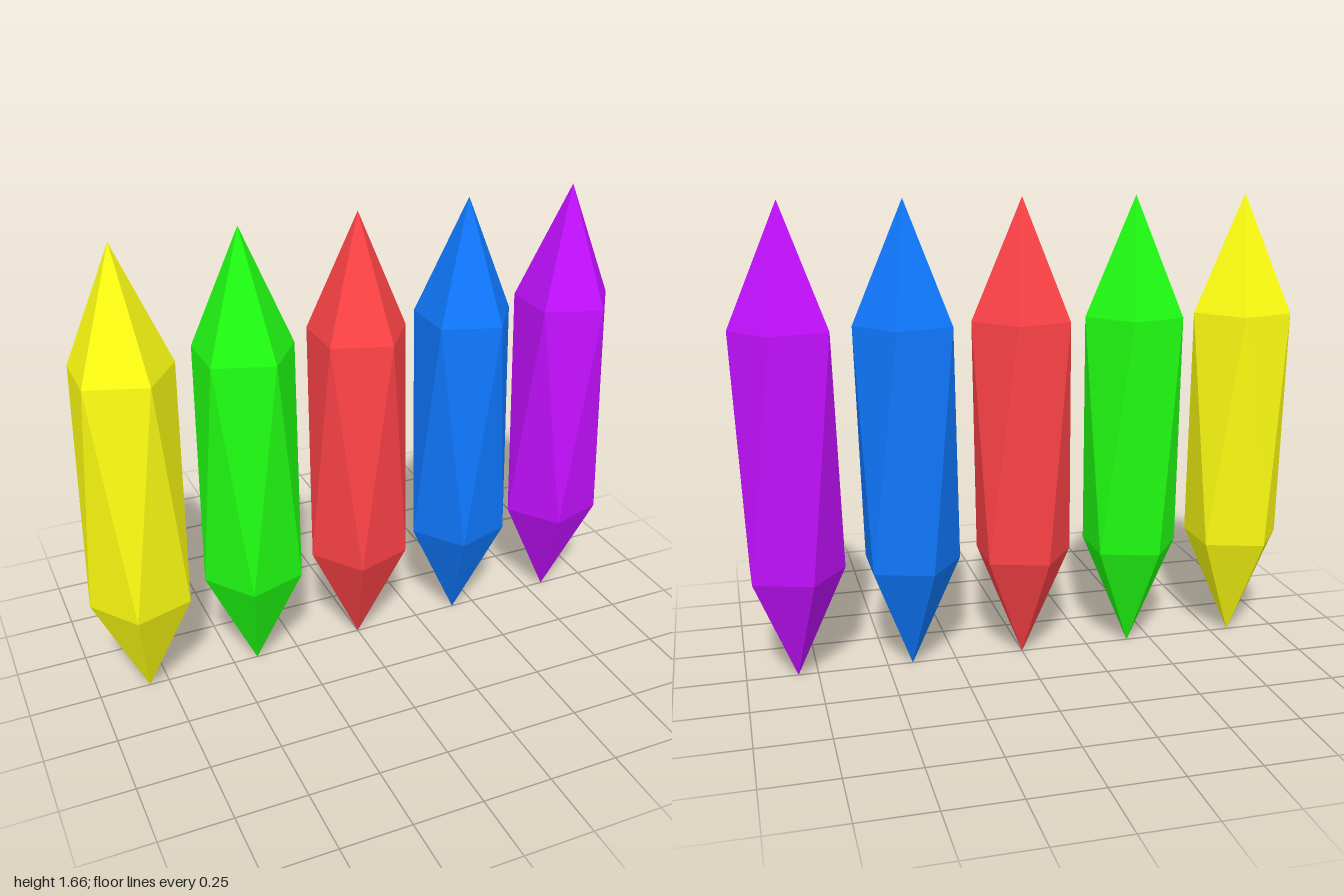
import * as THREE from 'three';

const RADIUS = 0.18, SPACING = 0.41;
const BOTTOM_Y = 0, LOWER_Y = 0.39, UPPER_Y = 1.24, TOP_Y = 1.66;

// Five-sided ring of corners, turned by a starting angle
function ring(y, start) {
  return Array.from({ length: 5 }, (_, i) => {
    const a = start + (i * Math.PI * 2) / 5;
    return new THREE.Vector3(RADIUS * Math.cos(a), y, RADIUS * Math.sin(a));
  });
}

// Stretched twenty-faced crystal: two staggered rings between two points
function crystalGeometry() {
  const top = new THREE.Vector3(0, TOP_Y, 0);
  const bottom = new THREE.Vector3(0, BOTTOM_Y, 0);
  const upper = ring(UPPER_Y, 0);
  const lower = ring(LOWER_Y, Math.PI / 5);
  const corners = [];
  for (let i = 0; i < 5; i++) {
    const j = (i + 1) % 5;
    corners.push(top, upper[j], upper[i]); // tip
    corners.push(upper[i], upper[j], lower[i]); // belt
    corners.push(lower[i], upper[j], lower[j]);
    corners.push(lower[i], lower[j], bottom); // foot
  }
  const geometry = new THREE.BufferGeometry().setFromPoints(corners);
  geometry.computeVertexNormals();
  return geometry;
}

export function createModel() {
  const group = new THREE.Group();
  group.name = 'crystalRow';
  const geometry = crystalGeometry();
  const crystals = [
    ['yellowCrystal', 0xffff12],
    ['greenCrystal', 0x20ff12],
    ['redCrystal', 0xff4347],
    ['blueCrystal', 0x0f78ff],
    ['purpleCrystal', 0xc310ff],
  ];
  // Row of equal crystals along x
  crystals.forEach(([name, color], i) => {
    const material = new THREE.MeshStandardMaterial({ color, flatShading: true });
    const crystal = new THREE.Mesh(geometry, material);
    crystal.name = name;
    crystal.position.x = (i - 2) * SPACING;
    group.add(crystal);
  });
  return group;
}
